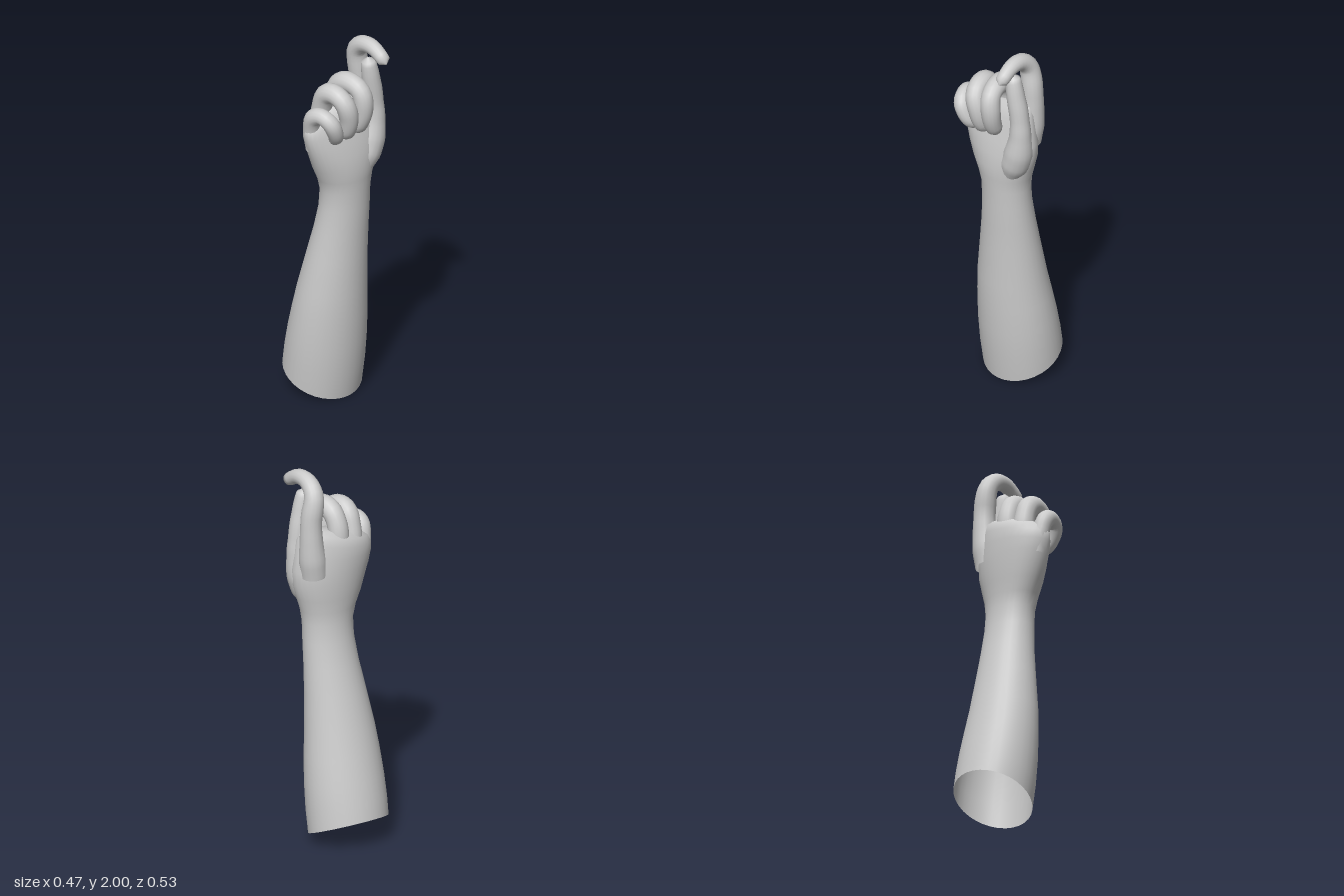
import * as THREE from 'three';

const material = new THREE.MeshStandardMaterial({ color: 0xcccccc, side: THREE.DoubleSide });

// Smooth skin over a stack of closed rings (arrays of Vector3 with equal counts)
function skin(name, rings) {
  const n = rings[0].length, index = [];
  for (let j = 0; j < rings.length - 1; j++) {
    for (let i = 0; i < n; i++) {
      const a = j * n + i, b = j * n + (i + 1) % n;
      index.push(a, a + n, b, b, a + n, b + n);
    }
  }
  const geometry = new THREE.BufferGeometry().setFromPoints(rings.flat());
  geometry.setIndex(index);
  geometry.computeVertexNormals();
  const mesh = new THREE.Mesh(geometry, material);
  mesh.name = name;
  return mesh;
}

// Oval cross-section: bounds in x and z, tilt toward the back, slope across x, arch of the sides
function section([y, x0, x1, z0, z1, tilt = 0, slope = 0, arch = 0], count = 32) {
  const cx = (x0 + x1) / 2, cz = (z0 + z1) / 2;
  return Array.from({ length: count }, (_, i) => {
    const a = i / count * Math.PI * 2, c = Math.cos(a), s = Math.sin(a);
    const x = c * (x1 - x0) / 2, z = s * (z1 - z0) / 2;
    return new THREE.Vector3(cx + x, y - tilt * z + slope * x, cz + z + arch * c * c);
  });
}

// Tapered digit along a curve, with a rounded tip
function digit(name, points, radii, steps = 30, count = 16) {
  const curve = new THREE.CatmullRomCurve3(points.map(p => new THREE.Vector3(...p)), false, 'centripetal');
  const frames = curve.computeFrenetFrames(steps, false);
  const length = curve.getLength(), capStart = 1 - radii[radii.length - 1] / length;
  const rings = [];
  const addRing = (u, f) => {
    const t = u * (radii.length - 1), k = Math.min(Math.floor(t), radii.length - 2);
    let r = THREE.MathUtils.lerp(radii[k], radii[k + 1], t - k);
    if (u > capStart) r *= Math.sqrt(Math.max(1e-5, 1 - ((u - capStart) / (1 - capStart)) ** 2));
    const centre = curve.getPointAt(u);
    rings.push(Array.from({ length: count }, (_, i) => {
      const a = i / count * Math.PI * 2;
      return centre.clone()
        .addScaledVector(frames.normals[f], r * Math.cos(a))
        .addScaledVector(frames.binormals[f], -r * Math.sin(a));
    }));
  };
  for (let f = 0; f <= steps; f++) addRing(f / steps, f);
  return skin(name, rings);
}

export function createModel() {
  const hand = new THREE.Group();
  hand.name = 'forearmAndHand';

  // Forearm, open at the slanted elbow end, running through the wrist into the palm
  hand.add(skin('forearmAndPalm', [
    [0.085, -0.21, 0.21, -0.27, 0.11, 0.45],
    [0.2, -0.213, 0.213, -0.253, 0.132, 0.3],
    [0.33, -0.21, 0.21, -0.228, 0.148, 0.18],
    [0.47, -0.2, 0.2, -0.196, 0.158, 0.1],
    [0.6, -0.185, 0.187, -0.165, 0.164, 0.04],
    [0.8, -0.152, 0.175, -0.115, 0.167],
    [0.95, -0.126, 0.168, -0.077, 0.173],
    [1.08, -0.112, 0.165, -0.048, 0.18],
    [1.18, -0.112, 0.165, -0.037, 0.183],
    [1.25, -0.132, 0.176, -0.038, 0.19],
    [1.32, -0.165, 0.198, -0.046, 0.195, 0, 0, 0.005],
    [1.4, -0.195, 0.222, -0.053, 0.188, 0, 0, 0.015],
    [1.47, -0.216, 0.228, -0.055, 0.175, 0, 0.05, 0.022],
    [1.54, -0.23, 0.215, -0.055, 0.16, 0, 0.12, 0.028],
    [1.6, -0.232, 0.205, -0.05, 0.145, 0, 0.2, 0.032],
    [1.645, -0.21, 0.185, -0.036, 0.125, 0, 0.25, 0.028],
    [1.67, -0.15, 0.14, -0.005, 0.1, 0, 0.25, 0.01],
    [1.675, -0.01, 0.01, 0.04, 0.06],
  ].map(s => section(s))));

  // Hooked index finger
  hand.add(digit('indexFinger', [
    [0.135, 1.46, 0.03], [0.155, 1.62, 0.022], [0.158, 1.76, 0.022], [0.138, 1.9, 0.028],
    [0.135, 1.953, 0.085], [0.14, 1.958, 0.16], [0.145, 1.925, 0.225], [0.146, 1.9, 0.262],
  ], [0.07, 0.072, 0.062, 0.056, 0.056, 0.05, 0.043, 0.038, 0.034]));

  // Thumb with its fleshy base
  hand.add(digit('thumb', [
    [0.09, 1.27, 0.11], [0.15, 1.42, 0.12], [0.172, 1.55, 0.128],
    [0.165, 1.67, 0.13], [0.145, 1.78, 0.134], [0.125, 1.9, 0.135],
  ], [0.055, 0.078, 0.075, 0.058, 0.05, 0.05, 0.046, 0.036]));

  // Three fingers curled into the palm
  const curled = [0.056, 0.056, 0.052, 0.054, 0.05, 0.052, 0.047, 0.042];
  hand.add(digit('middleFinger', [
    [-0.005, 1.55, 0.02], [-0.005, 1.7, 0.028], [0.005, 1.77, 0.07], [0.018, 1.785, 0.135],
    [0.033, 1.755, 0.195], [0.042, 1.66, 0.206], [0.036, 1.57, 0.18], [0.03, 1.53, 0.145],
  ], curled));
  hand.add(digit('ringFinger', [
    [-0.095, 1.5, 0.035], [-0.1, 1.65, 0.045], [-0.098, 1.735, 0.08], [-0.09, 1.755, 0.135],
    [-0.075, 1.725, 0.193], [-0.05, 1.64, 0.203], [-0.042, 1.555, 0.18], [-0.04, 1.52, 0.145],
  ], curled));
  hand.add(digit('littleFinger', [
    [-0.165, 1.45, 0.07], [-0.188, 1.57, 0.075], [-0.195, 1.64, 0.1], [-0.185, 1.662, 0.145],
    [-0.165, 1.638, 0.195], [-0.135, 1.575, 0.2], [-0.115, 1.535, 0.18], [-0.11, 1.52, 0.14],
  ], curled.map(r => r * 0.84)));

  return hand;
}
